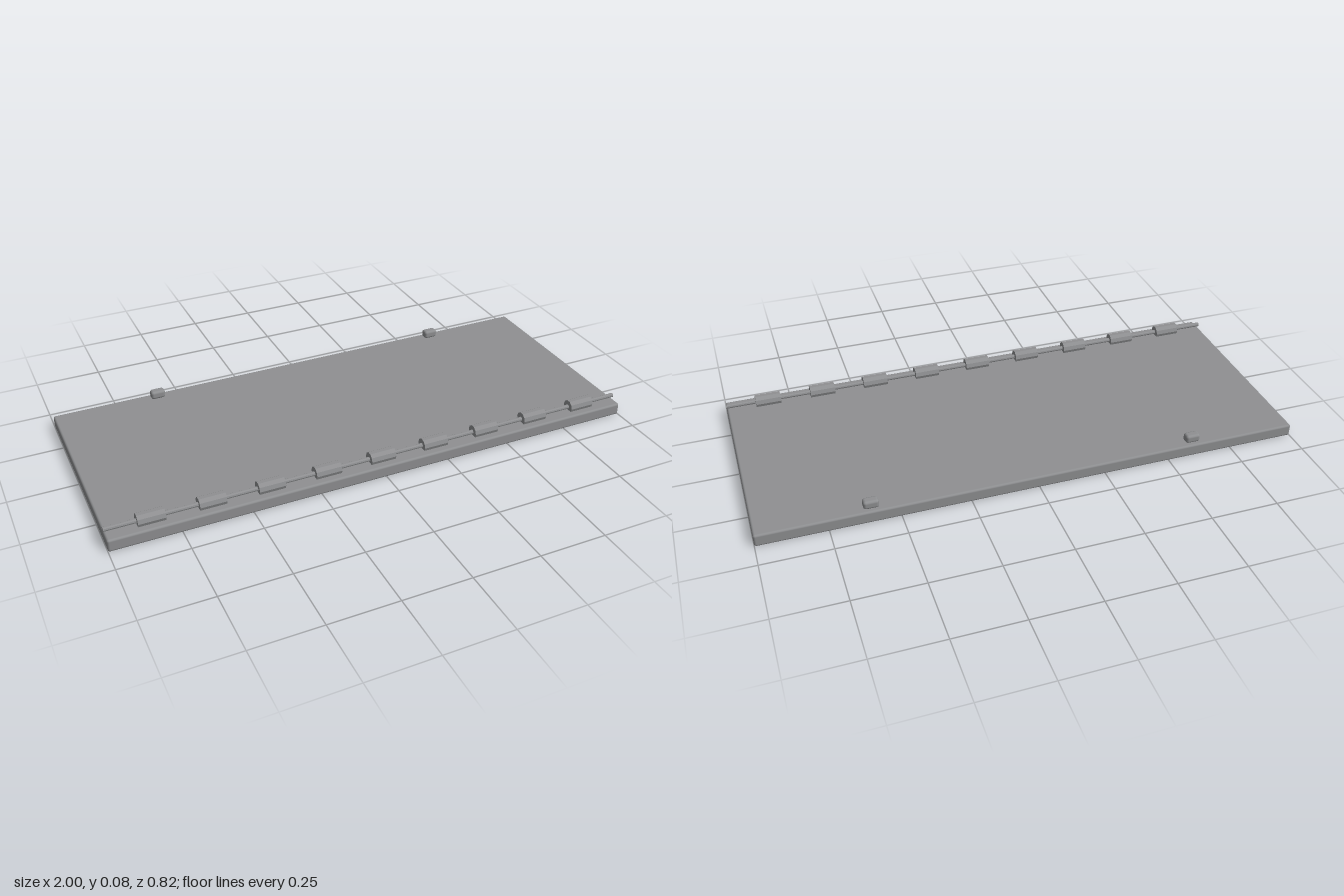
import * as THREE from 'three';
import { RoundedBoxGeometry } from 'three/addons/geometries/RoundedBoxGeometry.js';

export function createModel() {
  const group = new THREE.Group();
  const color = 0x8f9092;
  const smooth = new THREE.MeshStandardMaterial({ color });
  const faceted = new THREE.MeshStandardMaterial({ color, flatShading: true });

  const add = (name, geometry, material, x, y, z) => {
    const mesh = new THREE.Mesh(geometry, material);
    mesh.name = name;
    mesh.position.set(x, y, z);
    group.add(mesh);
  };

  // Flat panel with softened edges
  const thickness = 0.047;
  add('panel', new RoundedBoxGeometry(2, thickness, 0.82, 2, 0.008), smooth, 0, thickness / 2, 0);

  // Ten-sided rod lying along x, flat side up
  const rod = (radius, length) =>
    new THREE.CylinderGeometry(radius, radius, length, 10).rotateZ(Math.PI / 2);

  // Hinge pin along the front edge
  const hingeY = 0.059, hingeZ = 0.36;
  add('hingePin', rod(0.0085, 2), faceted, 0, hingeY, hingeZ);

  // Nine evenly spaced hinge knuckles
  const knuckle = rod(0.0255, 0.095);
  for (let i = -4; i <= 4; i++) {
    add('hingeKnuckle', knuckle, faceted, i * 0.2105, hingeY, hingeZ);
  }

  // Pair of small catches at the back edge
  const catchBlock = new RoundedBoxGeometry(0.055, 0.032, 0.034, 2, 0.01);
  for (const side of [-1, 1]) {
    add(side > 0 ? 'leftCatch' : 'rightCatch', catchBlock, smooth, side * 0.6, 0.063, -0.38);
  }

  return group;
}
